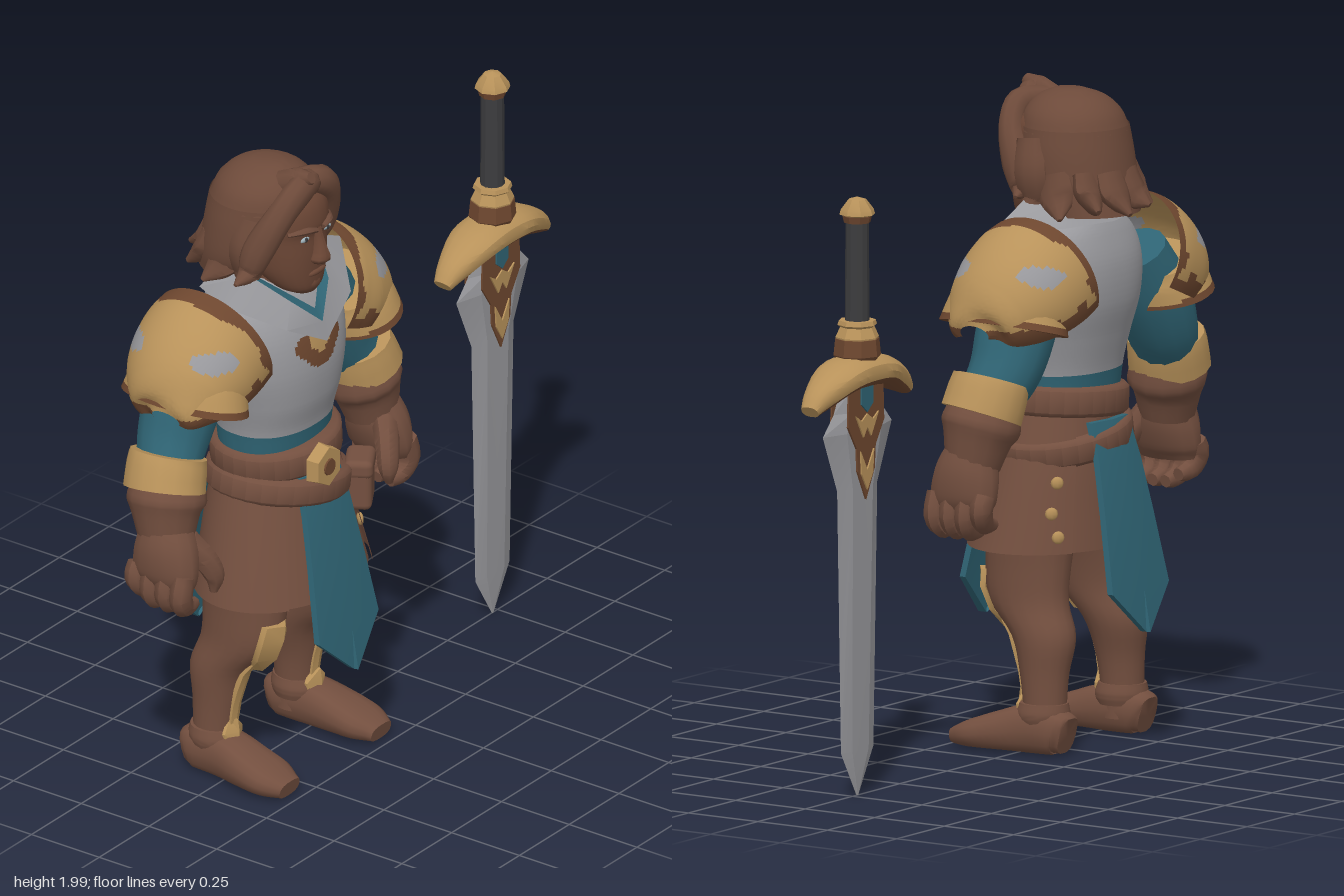
import * as THREE from 'three';
import { toCreasedNormals } from 'three/addons/utils/BufferGeometryUtils.js';
import { RoundedBoxGeometry } from 'three/addons/geometries/RoundedBoxGeometry.js';

const V = (x, y, z) => new THREE.Vector3(x, y, z);
const mat = (name, color) => new THREE.MeshStandardMaterial({ name, color, side: THREE.DoubleSide });

// Surface through rows of points; paint(centre) picks the material slot of each quad
function grid(rows, { wrap = false, caps = false, paint = null, crease = 0.8 } = {}) {
  const n = rows[0].length, pts = rows.flat(), sets = [];
  const tri = (slot, ...abc) => (sets[slot] ??= []).push(...abc);
  for (let i = 0; i < rows.length - 1; i++) for (let j = 0; j < (wrap ? n : n - 1); j++) {
    const a = i * n + j, b = i * n + (j + 1) % n, c = a + n, d = b + n;
    const mid = V(0, 0, 0).add(pts[a]).add(pts[b]).add(pts[c]).add(pts[d]).multiplyScalar(0.25);
    const s = paint ? paint(mid) : 0;
    tri(s, a, c, b); tri(s, b, c, d);
  }
  if (caps) [0, rows.length - 1].forEach((r, end) => {
    const mid = rows[r].reduce((m, p) => m.add(p), V(0, 0, 0)).divideScalar(n);
    const s = paint ? paint(mid) : 0, k = pts.push(mid) - 1;
    for (let j = 0; j < n; j++) {
      const a = r * n + j, b = r * n + (j + 1) % n;
      if (end) tri(s, k, b, a); else tri(s, k, a, b);
    }
  });
  const geo = new THREE.BufferGeometry().setFromPoints(pts), index = [];
  sets.forEach((list, s) => { if (paint) geo.addGroup(index.length, list.length, s); index.push(...list); });
  geo.setIndex(index);
  return toCreasedNormals(geo, crease);
}

// Elliptical sections [x, y, z, ra, rb] swept along their centres; level keeps them horizontal (rows go upward)
function loft(rows, { n = 18, sub = 4, level = true, ref = V(0, 0, 1), p = 1, from = 0, to = 360, grow = 0, ...rest } = {}) {
  const path = new THREE.CatmullRomCurve3(rows.map(r => V(r[0], r[1], r[2])), false, 'catmullrom');
  const size = new THREE.CatmullRomCurve3(rows.map(r => V(r[3], r[4], 0)), false, 'catmullrom');
  const full = to - from === 360, N = (rows.length - 1) * sub, out = [];
  const pow = v => Math.sign(v) * Math.abs(v) ** p;
  for (let i = 0; i <= N; i++) {
    const c = path.getPoint(i / N), s = size.getPoint(i / N);
    const T = level ? V(0, 1, 0) : path.getTangent(i / N);
    const B = ref.clone().addScaledVector(T, -ref.dot(T)).normalize(), U = T.clone().cross(B), ring = [];
    for (let j = 0; j < (full ? n : n + 1); j++) {
      const a = THREE.MathUtils.degToRad(from + (to - from) * j / n);
      ring.push(c.clone().addScaledVector(U, pow(Math.cos(a)) * (s.x + grow)).addScaledVector(B, pow(Math.sin(a)) * (s.y + grow)));
    }
    out.push(ring);
  }
  return grid(out, { wrap: full, caps: full, ...rest });
}
const limb = (rows, o = {}) => loft(rows, { level: false, n: 14, ...o });

// Bent cloth or plate with thickness, from [y, half width, z]
const shield = (list, cx, bend, thick) => grid(list.map(([y, w, z]) =>
  [[1, 0], [0, 0], [-1, 0], [-1, 1], [0, 1], [1, 1]].map(([k, b]) => V(cx + w * k, y, z - bend * k * k - b * thick))),
  { wrap: true, caps: true, crease: 0.5 });
const plate = (pts, depth) => new THREE.ExtrudeGeometry(new THREE.Shape(pts.map(q => new THREE.Vector2(...q))), { depth, bevelEnabled: false });

function mirror(geo) {
  const g = geo.clone().scale(-1, 1, 1);
  const ix = g.index ? [...g.index.array] : [...Array(g.attributes.position.count).keys()];
  for (let i = 0; i < ix.length; i += 3) [ix[i + 1], ix[i + 2]] = [ix[i + 2], ix[i + 1]];
  return g.setIndex(ix);
}

export function createModel() {
  const skin = mat('skin', 0x6b4635), hair = mat('hair', 0x6d4a3a), leather = mat('leather', 0x734f3f), trim = mat('darkTrim', 0x6e472f);
  const gold = mat('gold', 0xb8925a), steel = mat('steel', 0x99999d), teal = mat('tealCloth', 0x2f6474), grip = mat('grip', 0x3c3c3e), eye = mat('eye', 0x9fb2ba);
  const model = new THREE.Group(), man = new THREE.Group(), sword = new THREE.Group();
  man.name = 'warrior'; man.position.x = -0.37;
  sword.name = 'sword'; sword.position.x = 0.725;
  model.add(man, sword);
  const add = (name, geo, m, parent = man) => {
    const mesh = new THREE.Mesh(geo, m); mesh.name = name; parent.add(mesh); return mesh;
  };
  const pair = (name, geo, m) => { add(name + 'Left', geo, m); add(name + 'Right', mirror(geo), m); };

  // Torso with waistband and chest emblem
  const chest = c => {
    if (c.y < 1.145) return 1;
    const x = Math.abs(c.x);
    if (c.z < 0.05 || x > 0.112 || c.y < 1.352 + Math.max(0, x - 0.03) * 0.85 || c.y > 1.465 - Math.max(0, x - 0.08)) return 0;
    return x < 0.05 && c.y > 1.388 + x * 0.8 ? 3 : 2;
  };
  add('torso', loft([[0, 1.08, 0, 0.19, 0.145], [0, 1.16, 0, 0.2, 0.155], [0, 1.25, 0, 0.222, 0.175], [0, 1.36, -0.01, 0.25, 0.19],
    [0, 1.47, -0.02, 0.255, 0.18], [0, 1.56, -0.03, 0.22, 0.145], [0, 1.63, -0.04, 0.12, 0.1]], { n: 128, sub: 16, p: 0.9, paint: chest }), [steel, teal, trim, gold]);

  // Wide pointed collar with a cloth lining
  const around = half => [...half, ...half.slice(0, -1).reverse().map(([x, y, z]) => [-x, y, z])].map(q => V(...q));
  const outer = around([[0, 1.60, -0.18], [0.2, 1.60, -0.13], [0.29, 1.615, 0.03], [0.16, 1.525, 0.165], [0, 1.435, 0.195]]);
  const inner = around([[0, 1.67, -0.11], [0.12, 1.67, -0.08], [0.165, 1.67, 0.03], [0.095, 1.585, 0.13], [0, 1.495, 0.178]]);
  const deep = around([[0, 1.64, -0.1], [0.1, 1.64, -0.07], [0.12, 1.645, 0.03], [0.062, 1.585, 0.115], [0, 1.53, 0.15]]);
  add('collar', grid([outer, inner], { crease: 0.5 }), steel);
  add('collarLining', grid([inner, deep], { crease: 0.5 }), teal);

  // Neck, head and face
  add('neck', loft([[0, 1.47, -0.01, 0.13, 0.125], [0, 1.56, 0, 0.1, 0.1], [0, 1.68, 0.01, 0.095, 0.1]]), skin);
  add('head', loft([[0, 1.588, 0.1, 0.045, 0.045], [0, 1.61, 0.085, 0.08, 0.07], [0, 1.66, 0.055, 0.11, 0.105], [0, 1.72, 0.04, 0.123, 0.122],
    [0, 1.78, 0.035, 0.128, 0.125], [0, 1.82, 0.03, 0.13, 0.138], [0, 1.89, 0.015, 0.125, 0.135], [0, 1.95, 0, 0.07, 0.08]], { n: 24, p: 0.92 }), skin);
  add('nose', loft([[0, 1.69, 0.162, 0.02, 0.02], [0, 1.705, 0.165, 0.034, 0.036], [0, 1.73, 0.165, 0.024, 0.033], [0, 1.77, 0.158, 0.016, 0.024], [0, 1.81, 0.15, 0.018, 0.018]], { n: 10 }), skin);
  add('mouth', new THREE.SphereGeometry(1, 10, 6).scale(0.043, 0.01, 0.01).translate(0, 1.658, 0.158), skin);
  add('chin', new THREE.SphereGeometry(1, 10, 8).scale(0.045, 0.03, 0.03).translate(0, 1.618, 0.13), skin);
  pair('eyeWhite', new THREE.SphereGeometry(1, 10, 6).scale(0.022, 0.008, 0.006).translate(0.054, 1.782, 0.153), eye);
  pair('pupil', new THREE.SphereGeometry(1, 8, 6).scale(0.008, 0.008, 0.004).translate(0.054, 1.782, 0.157), grip);
  pair('brow', limb([[0.015, 1.803, 0.165, 0.008, 0.012], [0.055, 1.812, 0.158, 0.011, 0.014], [0.1, 1.806, 0.122, 0.006, 0.01]], { n: 8 }), hair);

  // Hair: back shell, crown and sweeping locks
  add('hairBack', loft([[0, 1.625, -0.1, 0.155, 0.14], [-0.01, 1.70, -0.06, 0.175, 0.163], [-0.01, 1.80, -0.04, 0.176, 0.167], [-0.01, 1.88, -0.032, 0.166, 0.16]], { from: 140, to: 400, n: 28 }), hair);
  add('crown', loft([[-0.01, 1.865, -0.032, 0.168, 0.163], [-0.01, 1.92, -0.025, 0.145, 0.145], [-0.01, 1.962, -0.02, 0.1, 0.105], [-0.01, 1.985, -0.015, 0.04, 0.05]], { n: 24 }), hair);
  const lock = (...rows) => add('hairLock', limb(rows, { n: 10 }), hair);
  lock([0.03, 1.90, 0.1, 0.02, 0.03], [-0.01, 1.95, 0.13, 0.042, 0.04], [-0.085, 1.93, 0.135, 0.05, 0.04], [-0.145, 1.86, 0.11, 0.045, 0.045], [-0.18, 1.77, 0.07, 0.04, 0.05], [-0.2, 1.70, 0.05, 0.03, 0.035], [-0.265, 1.685, 0.05, 0.005, 0.006]);
  lock([-0.05, 1.93, 0.04, 0.03, 0.04], [-0.04, 1.965, 0.12, 0.035, 0.04], [-0.045, 1.99, 0.17, 0.015, 0.018]);
  lock([-0.03, 1.95, 0.08, 0.03, 0.04], [0.05, 1.935, 0.125, 0.045, 0.04], [0.11, 1.87, 0.115, 0.042, 0.04], [0.145, 1.77, 0.07, 0.036, 0.05], [0.155, 1.70, 0.05, 0.03, 0.035], [0.2, 1.68, 0.04, 0.005, 0.006]);
  for (const s of [-1, 1]) {
    lock([s * 0.14, 1.85, 0.02, 0.035, 0.05], [s * 0.16, 1.75, 0.01, 0.04, 0.06], [s * 0.145, 1.67, 0.01, 0.035, 0.05], [s * 0.19, 1.63, 0.03, 0.005, 0.006]);
    lock([s * 0.14, 1.75, -0.06, 0.03, 0.06], [s * 0.15, 1.68, -0.08, 0.035, 0.06], [s * 0.2, 1.625, -0.12, 0.006, 0.008]);
  }
  for (let i = 0; i < 4; i++) {
    const a = (i - 1.5) * 0.55, x = Math.sin(a), z = -Math.cos(a);
    lock([x * 0.13, 1.75, z * 0.14 - 0.05, 0.06, 0.03], [x * 0.15, 1.68, z * 0.16 - 0.06, 0.062, 0.035], [x * 0.19, 1.635 + (i % 2) * 0.015, z * 0.19 - 0.09, 0.008, 0.008]);
  }

  // Shoulder armour: arched shell open to the neck, over a flared lower plate
  const shellPaint = c => {
    const d = (c.x - 0.215) * 0.89 - (c.y - 1.45) * 0.45;
    const drop = c.y - 1.365 + 0.2 * (c.x - 0.25);
    if (d < 0.02 + 0.022 * Math.max(0, Math.sin(c.y * 40)) || drop < 0.022 + Math.max(0, 0.035 - Math.abs(c.x - 0.29))) return 1;
    return ((c.x - 0.41) / 0.06) ** 2 + ((c.y - 1.495) / 0.03) ** 2 < 1 ? 2 : 0;
  };
  pair('pauldron', limb([[0.215, 1.45, -0.06, 0.205, 0.205], [0.28, 1.425, -0.06, 0.21, 0.207], [0.36, 1.39, -0.05, 0.188, 0.198],
    [0.44, 1.352, -0.035, 0.142, 0.162], [0.49, 1.328, -0.025, 0.085, 0.115], [0.512, 1.318, -0.025, 0.03, 0.05]],
    { from: 68, to: 292, n: 48, sub: 10, paint: shellPaint, crease: 0.6 }), [gold, trim, steel]);
  const rimPaint = c => (c.y - 1.325 - 0.33 * (c.x - 0.385) < 0.015 ? 1 : 0);
  pair('pauldronFlare', limb([[0.355, 1.42, -0.045, 0.125, 0.17], [0.37, 1.38, -0.045, 0.14, 0.19], [0.387, 1.32, -0.045, 0.146, 0.21]], { n: 32, sub: 6, p: 0.95, paint: rimPaint }), [gold, trim]);

  // Arms, bracers and curled hands
  pair('upperArm', limb([[0.27, 1.46, -0.06, 0.1, 0.11], [0.35, 1.33, -0.07, 0.118, 0.12], [0.41, 1.21, -0.07, 0.106, 0.112], [0.47, 1.12, -0.05, 0.09, 0.095]]), teal);
  pair('bracer', limb([[0.462, 1.175, -0.05, 0.11, 0.12], [0.475, 1.14, -0.048, 0.117, 0.125], [0.498, 1.075, -0.04, 0.122, 0.127]], { n: 16, sub: 2 }), gold);
  pair('cuff', limb([[0.48, 1.09, -0.04, 0.108, 0.112], [0.493, 1.04, -0.035, 0.119, 0.122], [0.503, 1.0, -0.03, 0.1, 0.105], [0.515, 0.92, -0.02, 0.08, 0.085]], { sub: 3 }), leather);
  pair('palm', limb([[0.513, 0.97, -0.02, 0.078, 0.08], [0.528, 0.90, -0.01, 0.082, 0.105], [0.54, 0.83, -0.005, 0.068, 0.112], [0.545, 0.79, -0.005, 0.045, 0.1]]), leather);
  for (let i = 0; i < 4; i++) {
    const z = 0.075 - i * 0.055, d = i === 3 ? 0.025 : 0;
    pair('finger', limb([[0.555, 0.84, z, 0.04, 0.032], [0.572, 0.775 + d, z, 0.04, 0.033], [0.543, 0.732 + d, z * 0.9, 0.034, 0.03], [0.49, 0.722 + d, z * 0.85, 0.02, 0.02]], { n: 8, sub: 3 }), leather);
  }
  pair('thumb', limb([[0.50, 0.92, 0.04, 0.05, 0.04], [0.458, 0.86, 0.08, 0.04, 0.036], [0.436, 0.80, 0.1, 0.031, 0.03], [0.44, 0.75, 0.1, 0.012, 0.012]], { n: 8 }), leather);

  // Hips, split leather skirt and studs
  const skirt = [[0, 0.62, 0.03, 0.312, 0.24], [0, 0.74, 0.022, 0.28, 0.22], [0, 0.88, 0.012, 0.242, 0.197], [0, 1.03, 0.005, 0.2, 0.165]];
  add('hips', loft([[0, 0.74, 0, 0.15, 0.12], [0, 0.82, 0, 0.19, 0.15], [0, 1.02, 0, 0.19, 0.15]]), leather);
  pair('skirtSide', loft(skirt, { from: -52, to: 48, n: 16 }), leather);
  pair('skirtFront', loft(skirt, { from: 42, to: 67, grow: -0.012, n: 8 }), leather);
  pair('skirtBack', loft(skirt, { from: -76, to: -46, grow: -0.012, n: 8 }), leather);
  [[32, 0.8], [30, 0.72], [-38, 0.83], [-36, 0.74], [-42, 0.67]].forEach(([deg, y]) => {
    const a = THREE.MathUtils.degToRad(deg), d = y - 0.62;
    add('stud', new THREE.SphereGeometry(0.02, 8, 6).scale(0.5, 1, 1).rotateY(-a * 1.2)
      .translate(Math.cos(a) * (0.312 - d * 0.27), y, 0.03 - d * 0.07 + Math.sin(a) * (0.24 - d * 0.165)), gold);
  });

  // Cloth tabards front and back
  const tabard = shield([[0.37, 0.004, 0.31], [0.5, 0.148, 0.288], [0.72, 0.125, 0.246], [0.88, 0.108, 0.212], [0.95, 0.1, 0.192], [1.0, 0.095, 0.175]], 0, 0.012, 0.02);
  add('tabardFront', tabard, teal);
  add('tabardBack', tabard.clone().rotateY(Math.PI), teal);

  // Belts, buckle and pouch
  const belt = (r, q, h) => loft([[0, -h, 0, r - 0.012, q - 0.012], [0, -h + 0.012, 0, r, q], [0, h - 0.012, 0, r, q], [0, h, 0, r - 0.012, q - 0.012]], { n: 28, sub: 1 });
  add('belt', belt(0.213, 0.19, 0.045).rotateZ(0.07).translate(0, 1.055, 0.005), leather);
  add('slantedBelt', belt(0.236, 0.21, 0.04).rotateZ(-0.18).translate(0.006, 0.94, 0.01), leather);
  const disc = (r, d, n, z) => new THREE.CylinderGeometry(r * 0.9, r, d, n).rotateX(Math.PI / 2).translate(-0.03, 1.035, z);
  add('buckle', toCreasedNormals(disc(0.07, 0.04, 6, 0.205), 0.4), gold);
  add('buckleCentre', disc(0.028, 0.008, 12, 0.226), trim);
  add('pouch', new RoundedBoxGeometry(0.125, 0.15, 0.08, 2, 0.02).rotateY(0.55).translate(0.205, 0.875, 0.165), leather);
  add('pouchFlap', new RoundedBoxGeometry(0.132, 0.06, 0.088, 2, 0.02).rotateY(0.55).translate(0.205, 0.935, 0.165), leather);

  // Legs, greaves and boots
  pair('leg', loft([[0.205, 0.06, -0.07, 0.062, 0.066], [0.205, 0.14, -0.07, 0.062, 0.066], [0.2, 0.25, -0.065, 0.068, 0.076], [0.188, 0.36, -0.055, 0.086, 0.1],
    [0.178, 0.46, 0.005, 0.09, 0.13], [0.168, 0.56, 0.015, 0.1, 0.138], [0.15, 0.7, 0.01, 0.118, 0.14], [0.12, 0.88, 0, 0.1, 0.13]]), leather);
  pair('shinStripe', shield([[0.12, 0.02, 0.006], [0.18, 0.02, 0.008], [0.25, 0.021, 0.019], [0.3, 0.022, 0.034], [0.36, 0.02, 0.055], [0.4, 0.014, 0.085]], 0.203, 0.006, 0.02), gold);
  pair('kneeGuard', shield([[0.375, 0.012, 0.092], [0.43, 0.05, 0.145], [0.5, 0.06, 0.172], [0.55, 0.045, 0.178]], 0.185, 0.035, 0.02), gold);
  pair('ankleCuff', loft([[0.207, 0.1, -0.065, 0.07, 0.075], [0.207, 0.13, -0.065, 0.078, 0.083], [0.207, 0.165, -0.068, 0.07, 0.075]]), leather);
  pair('ankleBadge', shield([[0.12, 0.04, 0.024], [0.16, 0.045, 0.024], [0.2, 0.012, 0.018]], 0.207, 0.022, 0.01), gold);
  pair('boot', limb([[0.212, 0.07, -0.155, 0.045, 0.055], [0.212, 0.08, -0.12, 0.065, 0.068], [0.215, 0.083, -0.02, 0.07, 0.072], [0.225, 0.069, 0.08, 0.08, 0.057],
    [0.23, 0.055, 0.16, 0.08, 0.043], [0.23, 0.042, 0.225, 0.05, 0.026]], { ref: V(0, 1, 0), p: 0.75 }), leather);

  // Sword blade with ornament on both faces
  add('blade', loft([[0, 0.012, 0, 0.003, 0.003], [0, 0.15, 0, 0.086, 0.014], [0, 0.945, 0, 0.106, 0.024], [0, 1.12, 0, 0.182, 0.03], [0, 1.18, 0, 0.125, 0.032], [0, 1.27, 0, 0.08, 0.032]],
    { n: 6, sub: 1, crease: 0.15 }), steel, sword);
  const badge = (name, pts, z, m) => [0, Math.PI].forEach(r => add(name, plate(pts, 0.006).translate(0, 0, z).rotateY(r), m, sword));
  badge('bladeBadge', [[-0.09, 1.27], [-0.095, 1.14], [-0.05, 1.07], [-0.045, 1.0], [0, 0.91], [0.045, 1.0], [0.05, 1.07], [0.095, 1.14], [0.09, 1.27]], 0.027, trim);
  badge('badgeChevron', [[-0.035, 1.06], [0, 1.0], [0.035, 1.06], [0.03, 0.99], [0, 0.94], [-0.03, 0.99]], 0.032, gold);
  badge('badgeUpper', [[-0.06, 1.17], [-0.02, 1.1], [0, 1.13], [0.02, 1.1], [0.06, 1.17], [0.03, 1.15], [0, 1.17], [-0.03, 1.15]], 0.032, gold);
  badge('badgeGem', [[-0.03, 1.27], [-0.03, 1.2], [0, 1.175], [0.03, 1.2], [0.03, 1.27]], 0.032, teal);

  // Guard, grip and pommel
  const guard = [[-0.25, 1.208, 0, 0.02, 0.03], [-0.2, 1.243, 0, 0.038, 0.05], [-0.1, 1.288, 0, 0.046, 0.08], [0, 1.298, 0, 0.05, 0.083],
    [0.1, 1.288, 0, 0.046, 0.08], [0.2, 1.243, 0, 0.038, 0.05], [0.25, 1.208, 0, 0.02, 0.03]];
  add('guard', limb(guard, { n: 16, sub: 3, crease: 0.5, p: 0.85, paint: c => (c.y < 1.285 - 1.35 * c.x * c.x ? 1 : 0) }), [gold, trim], sword);
  const turned = (name, pts, m, n = 8) => add(name, toCreasedNormals(new THREE.LatheGeometry(pts.map(q => new THREE.Vector2(...q)), n), 0.4), m, sword);
  turned('gripSocket', [[0.064, 1.39], [0.066, 1.4], [0.052, 1.43], [0.06, 1.437], [0.056, 1.45], [0, 1.45]], gold);
  turned('socketBand', [[0.06, 1.325], [0.072, 1.345], [0.067, 1.395], [0.05, 1.4]], trim);
  turned('grip', [[0.037, 1.43], [0.035, 1.77]], grip, 12);
  turned('pommelBand', [[0, 1.74], [0.04, 1.745], [0.045, 1.765], [0.03, 1.77]], trim);
  turned('pommel', [[0.035, 1.762], [0.054, 1.77], [0.05, 1.785], [0.027, 1.815], [0, 1.823]], gold);
  return model;
}
